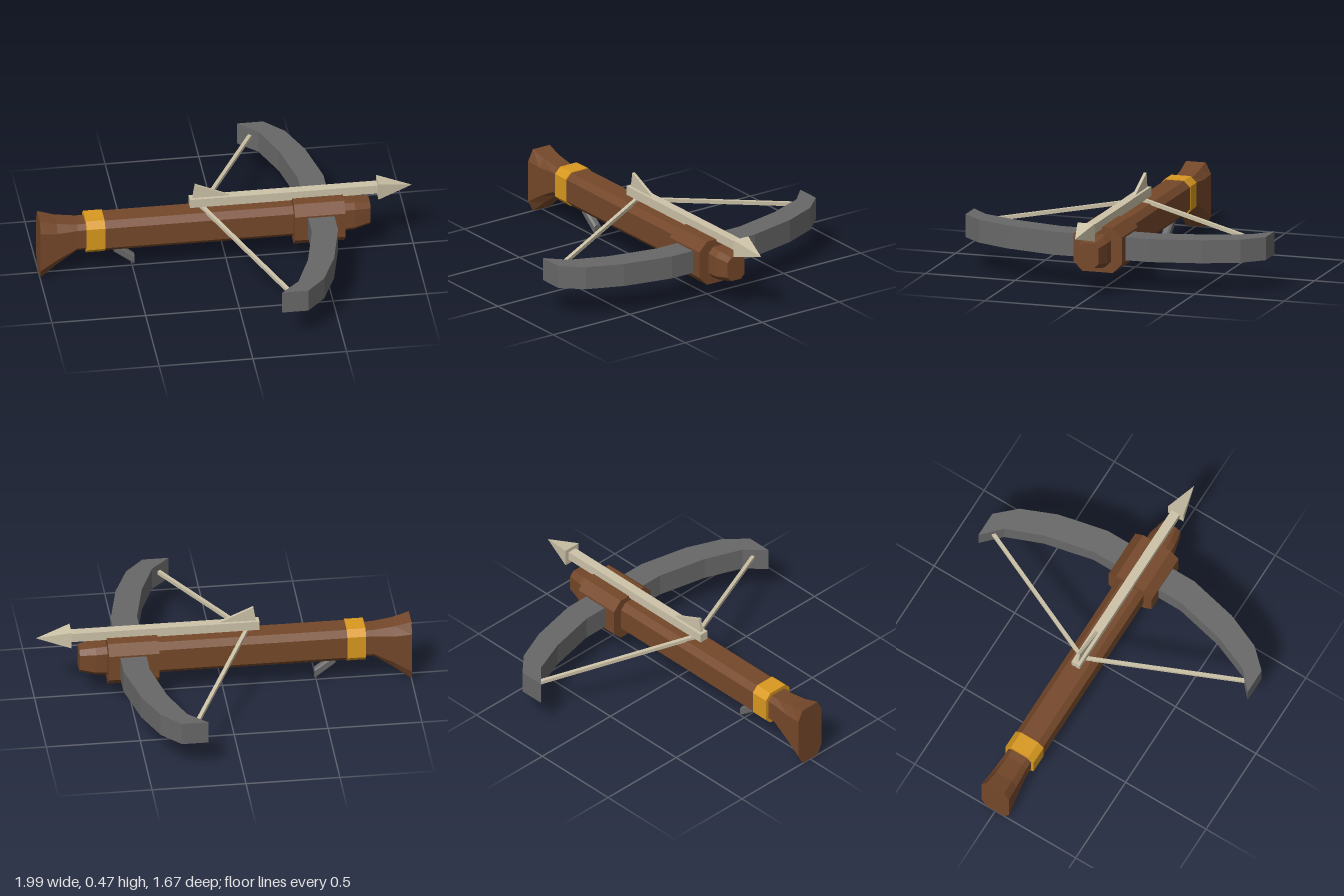
import * as THREE from 'three';

const paint = (name, color) => {
  const m = new THREE.MeshStandardMaterial({ color });
  m.name = name;
  return m;
};

// Joins chamfered rectangles along x. Section: [x, bottom, top, halfWidth, chamferY, chamferZ]
function loft(sections) {
  const rings = sections.map(([x, y0, y1, w, c, d = c]) => [
    [x, y1, d - w], [x, y1, w - d], [x, y1 - c, w], [x, y0 + c, w],
    [x, y0, w - d], [x, y0, d - w], [x, y0 + c, -w], [x, y1 - c, -w],
  ]);
  const pos = [];
  const tri = (a, b, c) => pos.push(...a, ...b, ...c);
  for (let s = 0; s < rings.length - 1; s++) {
    const a = rings[s], b = rings[s + 1];
    for (let i = 0; i < 8; i++) {
      const j = (i + 1) % 8;
      tri(a[i], a[j], b[j]);
      tri(a[i], b[j], b[i]);
    }
  }
  const first = rings[0], last = rings[rings.length - 1];
  for (let i = 1; i < 7; i++) {
    tri(first[0], first[i + 1], first[i]);
    tri(last[0], last[i], last[i + 1]);
  }
  const g = new THREE.BufferGeometry();
  g.setAttribute('position', new THREE.Float32BufferAttribute(pos, 3));
  g.computeVertexNormals();
  return g;
}

export function createModel() {
  const wood = paint('wood', 0x75482a);
  const gold = paint('gold', 0xd9991f);
  const iron = paint('iron', 0x686868);
  const pale = paint('pale wood', 0xcdc3a8);

  const group = new THREE.Group();
  const add = (name, geometry, material) => {
    const mesh = new THREE.Mesh(geometry, material);
    mesh.name = name;
    group.add(mesh);
    return mesh;
  };

  // Wooden stock, from the flared butt to the nose
  add('butt', loft([
    [-1, 0.0, 0.35, 0.085, 0.06, 0.03],
    [-0.91, 0.072, 0.325, 0.078, 0.045, 0.03],
    [-0.8, 0.15, 0.31, 0.07, 0.025],
    [-0.74, 0.15, 0.31, 0.07, 0.025],
  ]), wood);
  add('tiller', loft([
    [-0.67, 0.14, 0.325, 0.083, 0.032],
    [0.4, 0.14, 0.325, 0.083, 0.032],
  ]), wood);
  add('bowBlock', loft([
    [0.35, 0.11, 0.355, 0.135, 0.05],
    [0.62, 0.11, 0.355, 0.135, 0.05],
  ]), wood);
  add('nose', loft([
    [0.6, 0.142, 0.318, 0.077, 0.03],
    [0.68, 0.148, 0.312, 0.074, 0.028],
    [0.765, 0.165, 0.298, 0.055, 0.024],
  ]), wood);
  add('band', loft([
    [-0.755, 0.137, 0.33, 0.087, 0.033],
    [-0.655, 0.137, 0.33, 0.087, 0.033],
  ]), gold);

  // Trigger slanting down and forward
  add('trigger', loft([
    [-0.6, 0.1, 0.155, 0.021, 0.01],
    [-0.49, 0.015, 0.073, 0.021, 0.01],
  ]), iron);

  // Curved bow, mirrored across z
  const outer = [[0.56, 0.27], [0.5, 0.54], [0.42, 0.73], [0.32, 0.837], [0.18, 0.837]];
  const inner = [[0.28, 0.74], [0.36, 0.54], [0.42, 0.27]];
  const side = [...outer, ...inner];
  const outline = [
    ...side,
    ...side.map(([x, z]) => [x, -z]).reverse(),
  ];
  // The mirrored half is reversed, so start it at the inner middle edge
  const bow = new THREE.ExtrudeGeometry(
    new THREE.Shape(outline.map(([x, z]) => new THREE.Vector2(x, z))),
    { depth: 0.125, bevelEnabled: false },
  );
  bow.rotateX(-Math.PI / 2).translate(0, 0.17, 0);
  add('bow', bow, iron);

  // Drawn string
  const nock = new THREE.Vector3(-0.13, 0.335, 0);
  for (const s of [1, -1]) {
    const tip = new THREE.Vector3(0.245, 0.245, s * 0.79);
    const string = add(s > 0 ? 'leftString' : 'rightString',
      new THREE.BoxGeometry(0.02, 0.02, nock.distanceTo(tip)), pale);
    string.position.copy(nock).add(tip).multiplyScalar(0.5);
    string.lookAt(tip);
  }

  // Bolt with a pyramid head and one upright fin
  add('boltShaft', new THREE.BoxGeometry(1.01, 0.05, 0.05).translate(0.31, 0.37, 0), pale);
  const head = new THREE.ConeGeometry(0.048 * Math.SQRT2, 0.185, 4).toNonIndexed();
  head.rotateY(Math.PI / 4).rotateZ(-Math.PI / 2).translate(0.9, 0.368, 0);
  head.computeVertexNormals();
  add('boltHead', head, pale);
  const fin = new THREE.Shape([
    new THREE.Vector2(-0.18, 0.385), new THREE.Vector2(0.025, 0.392), new THREE.Vector2(-0.165, 0.475),
  ]);
  add('boltFin', new THREE.ExtrudeGeometry(fin, { depth: 0.016, bevelEnabled: false })
    .translate(0, 0, -0.008), pale);

  return group;
}
